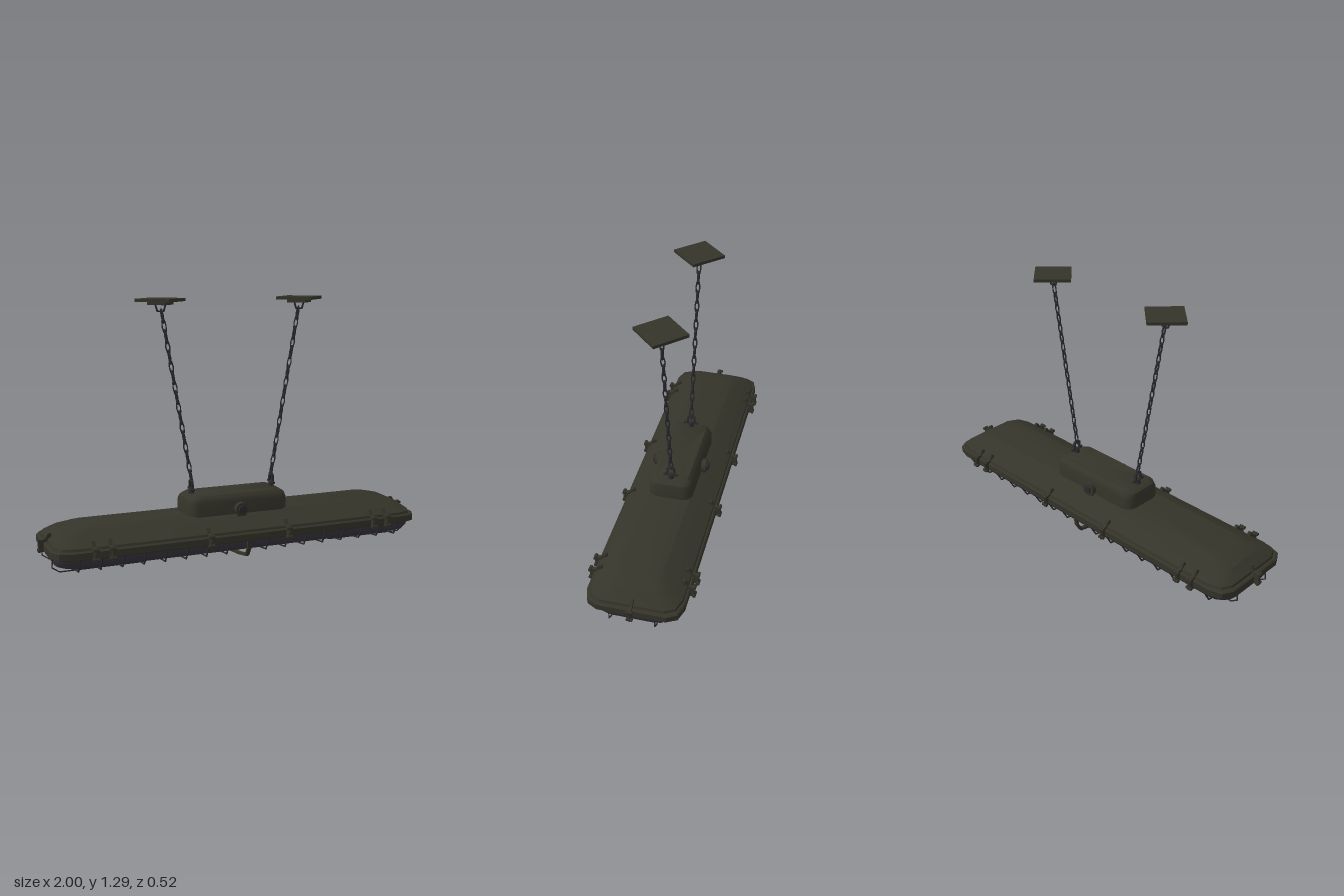
import * as THREE from 'three';
import { toCreasedNormals } from 'three/addons/utils/BufferGeometryUtils.js';

const paint = (name, color) => Object.assign(new THREE.MeshStandardMaterial({ color }), { name });
const V = (x, y, z) => new THREE.Vector3(x, y, z);

export function createModel() {
  const model = new THREE.Group();
  model.name = 'hangingLamp';
  const olive = paint('olive paint', 0x34342a);
  const lensMat = paint('smoky lens', 0x39363d);
  const steel = paint('dark steel', 0x2b2b2f);

  const add = (parent, name, geo, mat, x = 0, y = 0, z = 0) => {
    const m = new THREE.Mesh(geo, mat);
    m.name = name;
    m.position.set(x, y, z);
    parent.add(m);
    return m;
  };
  const group = (parent, name) => {
    const g = new THREE.Group();
    g.name = name;
    parent.add(g);
    return g;
  };

  // Closed solid through rounded rectangles [y, halfX, halfZ, cornerX, cornerZ]
  const loft = (levels, seg, crease) => {
    const pos = [], idx = [], n = 4 * (seg + 1);
    for (const [y, hx, hz, cx, cz] of levels)
      for (let q = 0; q < 4; q++)
        for (let s = 0; s <= seg; s++) {
          const a = (q + s / seg) * Math.PI / 2;
          const sx = q === 0 || q === 3 ? 1 : -1, sz = q < 2 ? 1 : -1;
          pos.push(sx * (hx - cx) + cx * Math.cos(a), y, sz * (hz - cz) + cz * Math.sin(a));
        }
    const last = levels.length - 1, bottom = n * levels.length, top = bottom + 1;
    pos.push(0, levels[0][0], 0, 0, levels[last][0], 0);
    for (let i = 0; i < n; i++) {
      const j = (i + 1) % n;
      for (let l = 0; l < last; l++) {
        const a = l * n + i, b = l * n + j;
        idx.push(a, a + n, b + n, a, b + n, b);
      }
      idx.push(bottom, i, j, top, last * n + j, last * n + i);
    }
    const g = new THREE.BufferGeometry();
    g.setAttribute('position', new THREE.Float32BufferAttribute(pos, 3));
    g.setIndex(idx);
    return toCreasedNormals(g, crease);
  };

  // Straight bars along a list of points
  const bars = (parent, name, pts, w, d, mat) => {
    for (let i = 0; i + 1 < pts.length; i++) {
      const dir = pts[i + 1].clone().sub(pts[i]);
      const m = add(parent, name, new THREE.BoxGeometry(w, dir.length() + d * 0.6, d), mat);
      m.position.copy(pts[i]).addScaledVector(dir, 0.5);
      m.quaternion.setFromUnitVectors(V(0, 1, 0), dir.normalize());
    }
  };

  // Housing: lens, rim, upper shell and junction box
  add(model, 'lens', loft([
    [0.042, 0.86, 0.09, 0.06, 0.06], [0.048, 0.91, 0.14, 0.08, 0.08],
    [0.068, 0.94, 0.19, 0.09, 0.09], [0.092, 0.95, 0.21, 0.09, 0.09],
    [0.12, 0.952, 0.218, 0.09, 0.09]], 4, 0.9), lensMat);
  add(model, 'rim', loft([
    [0.115, 0.962, 0.23, 0.09, 0.07], [0.12, 0.97, 0.236, 0.09, 0.07],
    [0.15, 0.97, 0.236, 0.09, 0.07], [0.156, 0.962, 0.23, 0.09, 0.07]], 2, 0.4), olive);
  add(model, 'upperShell', loft([
    [0.15, 0.955, 0.225, 0.09, 0.07], [0.168, 0.95, 0.22, 0.09, 0.07],
    [0.208, 0.9, 0.15, 0.08, 0.06], [0.222, 0.84, 0.12, 0.05, 0.04],
    [0.229, 0.82, 0.105, 0.05, 0.04]], 2, 0.4), olive);
  add(model, 'junctionBox', loft([
    [0.2, 0.27, 0.114, 0.05, 0.05], [0.285, 0.268, 0.112, 0.05, 0.05],
    [0.308, 0.26, 0.105, 0.05, 0.05], [0.325, 0.235, 0.085, 0.04, 0.04]], 4, 0.6), olive);

  // Cable glands on both sides of the junction box
  for (const s of [-1, 1]) {
    const gland = group(model, 'cableGland');
    const ring = add(gland, 'glandCollar', new THREE.CylinderGeometry(0.034, 0.036, 0.03, 10), olive, 0, 0.25, s * 0.122);
    const nut = add(gland, 'glandNut', new THREE.CylinderGeometry(0.022, 0.022, 0.016, 6), steel, 0, 0.25, s * 0.14);
    ring.rotation.x = nut.rotation.x = Math.PI / 2;
    add(gland, 'glandFoot', new THREE.BoxGeometry(0.05, 0.03, 0.025), olive, 0, 0.228, s * 0.12);
  }

  // Clamps around the rim; the profile runs outward and up
  const profile = new THREE.Shape([[-0.05, 0.165], [-0.04, 0.198], [-0.028, 0.198], [-0.012, 0.172], [0.016, 0.166],
    [0.018, 0.112], [-0.006, 0.11], [-0.004, 0.155]].map(([x, y]) => new THREE.Vector2(x, y)));
  const clampGeo = new THREE.ExtrudeGeometry(profile, { depth: 0.016, bevelEnabled: false });
  clampGeo.translate(0, 0, -0.008);
  const pinGeo = new THREE.CylinderGeometry(0.009, 0.009, 0.03, 6);
  const clamp = (x, z, angle) => {
    const g = group(model, 'rimClamp');
    g.position.set(x, 0, z);
    g.rotation.y = angle;
    add(g, 'clampLever', clampGeo, olive);
    for (const y of [0.118, 0.164])
      add(g, 'clampPin', pinGeo, olive, 0.016, y, 0).rotation.x = Math.PI / 2;
    add(g, 'clampBolt', new THREE.CylinderGeometry(0.006, 0.006, 0.065, 6), olive, 0.016, 0.14, 0);
  };
  for (const s of [-1, 1]) {
    for (const x of [-0.78, -0.7, -0.21, 0.205, 0.69, 0.77]) clamp(x, s * 0.238, -s * Math.PI / 2);
    clamp(s * 0.974, 0, s > 0 ? 0 : Math.PI);
  }

  // Guard cage: cross wires, long wires and the wide middle strap
  const cage = group(model, 'guardCage');
  const across = (x, half) => {
    const right = half.slice(0, -1).reverse();
    return [...half.map(([z, y]) => V(x, y, -z)), ...right.map(([z, y]) => V(x, y, z))];
  };
  for (let i = -8; i <= 8; i++)
    if (i) bars(cage, 'crossWire', across(i * 0.106, [[0.226, 0.115], [0.188, 0.05], [0.1, 0.041], [0, 0.036]]), 0.006, 0.006, steel);
  for (const sx of [-1, 1])
    for (const sz of [-1, 1])
      bars(cage, 'longWire', [V(sx * 0.5, 0.037, sz * 0.11), V(sx * 0.92, 0.036, sz * 0.11),
        V(sx * 0.955, 0.06, sz * 0.11), V(sx * 0.95, 0.115, sz * 0.11)], 0.005, 0.005, steel);
  bars(cage, 'middleStrap', across(0, [[0.227, 0.118], [0.22, 0.075], [0.195, 0.035], [0.1, 0.018], [0, 0.008]]), 0.02, 0.012, olive);

  // Eye bolts, chains and ceiling plates
  const linkGeo = new THREE.TorusGeometry(0.02, 0.007, 4, 8);
  linkGeo.scale(0.5, 1.5, 0.75);
  for (const s of [-1, 1]) {
    const hanger = group(model, s > 0 ? 'leftHanger' : 'rightHanger');
    add(hanger, 'eyeBase', new THREE.CylinderGeometry(0.012, 0.016, 0.03, 8), steel, s * 0.22, 0.335, 0);
    add(hanger, 'eyePin', new THREE.CylinderGeometry(0.007, 0.007, 0.075, 6), steel, s * 0.22, 0.346, 0).rotation.x = Math.PI / 2;
    bars(hanger, 'eyeLoop', across(s * 0.22, [[0.02, 0.346], [0.016, 0.385], [0, 0.394]]), 0.012, 0.008, steel);

    const chain = group(hanger, 'chain');
    const from = V(s * 0.217, 0.385, 0), to = V(s * 0.366, 1.235, 0);
    const tilt = -Math.atan2(to.x - from.x, to.y - from.y), count = 17;
    for (let i = 0; i < count; i++) {
      const link = add(chain, 'chainLink', linkGeo, steel);
      link.position.lerpVectors(from, to, (i + 0.5) / count);
      link.rotation.set(0, i % 2 ? 0 : Math.PI / 2, tilt, 'ZYX');
    }

    const px = s * 0.37;
    bars(hanger, 'plateShackle', [V(px - 0.027, 1.267, 0), V(px - 0.016, 1.232, 0),
      V(px + 0.016, 1.232, 0), V(px + 0.027, 1.267, 0)], 0.007, 0.007, steel);
    for (const [name, side, h, y] of [['ceilingPlate', 0.182, 0.015, 1.286], ['innerPlate', 0.095, 0.016, 1.271]])
      add(hanger, name, new THREE.BoxGeometry(side, h, side), olive, px, y, 0).rotation.y = Math.PI / 4;
  }
  return model;
}
